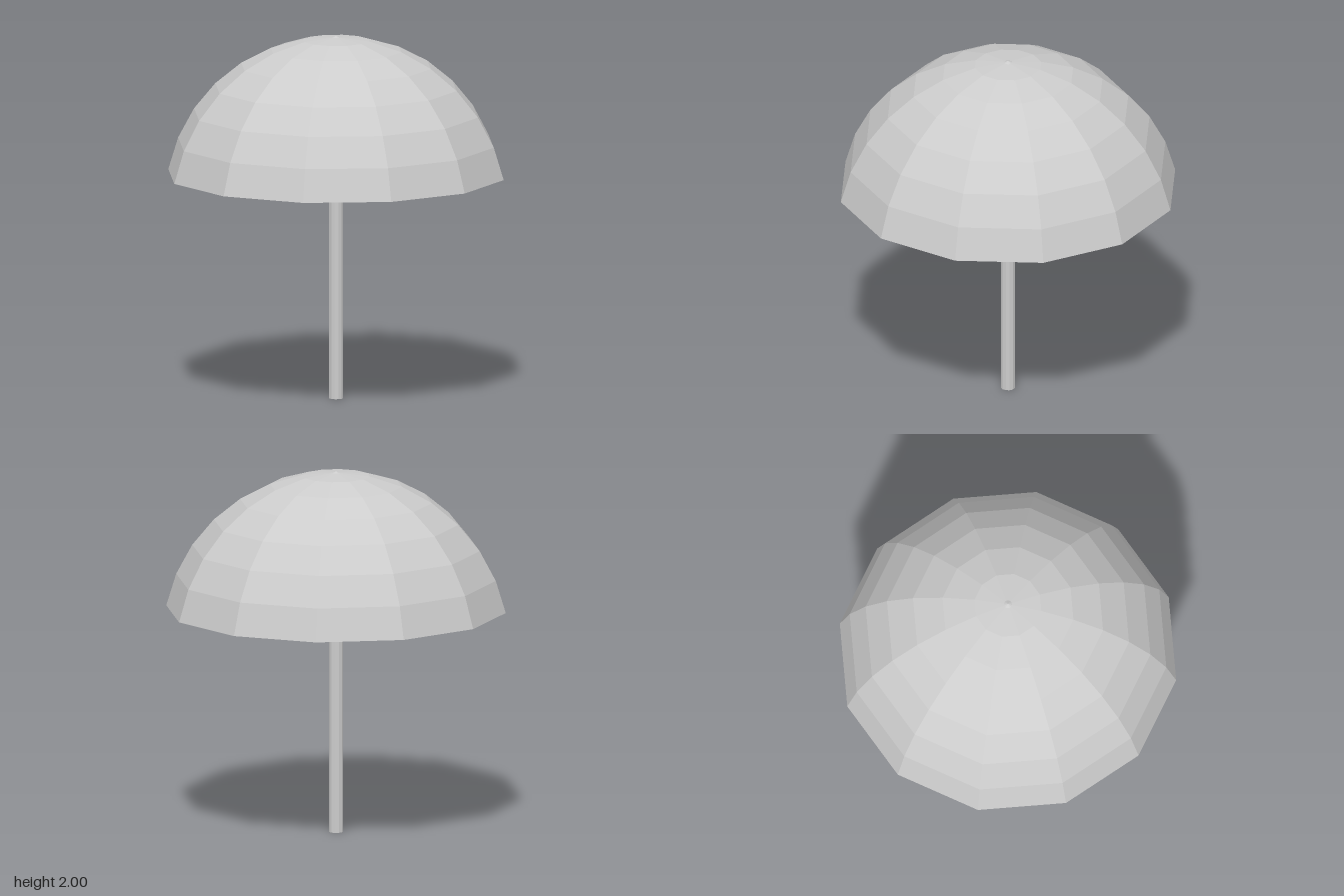
import * as THREE from 'three';

export function createModel() {
  const group = new THREE.Group();
  const grey = new THREE.MeshStandardMaterial({ color: 0xcccccc, flatShading: true, side: THREE.DoubleSide });
  grey.name = 'light grey';
  const sides = 12;

  const add = (name, geometry, y) => {
    const mesh = new THREE.Mesh(geometry, grey);
    mesh.name = name;
    mesh.position.y = y;
    group.add(mesh);
  };

  // Faceted dome: an open spherical cap, twelve panels by seven rings
  const radius = 0.949, apex = 1.993, sweep = 1.369;
  add('canopy', new THREE.SphereGeometry(radius, sides, 7, 0, Math.PI * 2, 0, sweep), apex - radius);

  // Straight pole from the ground to just under the dome
  const poleTop = 1.985;
  add('pole', new THREE.CylinderGeometry(0.039, 0.039, poleTop, sides), poleTop / 2);

  // Small pointed cap where the panels meet
  add('tip', new THREE.ConeGeometry(0.037, 0.015, sides, 1, true), 1.9925);

  return group;
}
